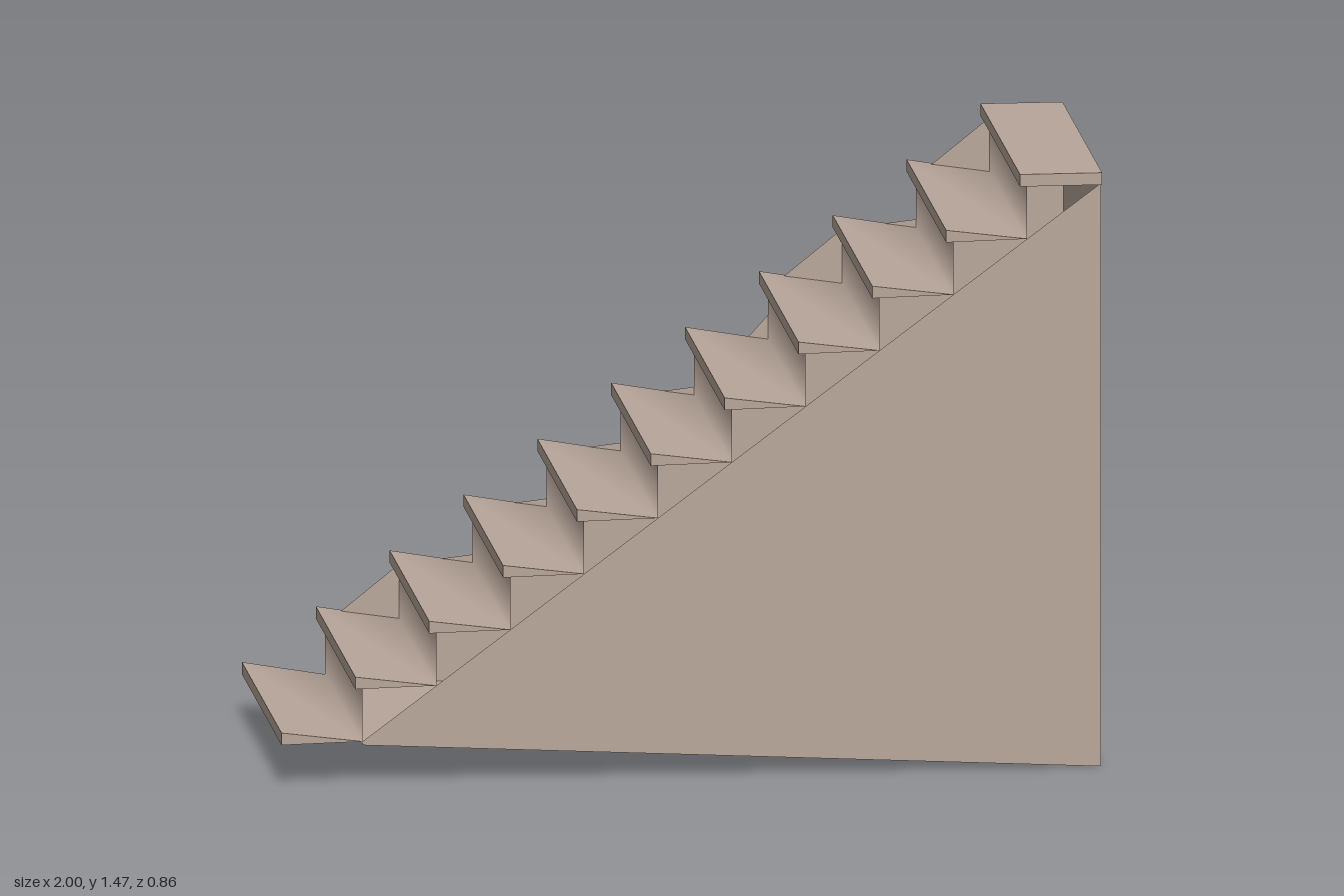
import * as THREE from 'three';

export function createModel() {
  const group = new THREE.Group();
  group.name = 'staircase';
  const stone = new THREE.MeshStandardMaterial({ color: 0xb8a69a, side: THREE.DoubleSide });
  stone.name = 'warm stone';

  const W = 0.41, NOSE = 0.432;      // half widths of body and tread nosing
  const RUN = 0.18, RISE = 0.134, COUNT = 11, THICK = 0.03;

  function add(name, geometry) {
    const mesh = new THREE.Mesh(geometry, stone);
    mesh.name = name;
    group.add(mesh);
    return mesh;
  }

  // Strip across z through [x, y, halfWidth] points; shared points shade smoothly
  function strip(points) {
    const pos = [], index = [];
    points.forEach(([x, y, w], i) => {
      pos.push(x, y, w, x, y, -w);
      if (i) {
        const a = 2 * i - 2;
        index.push(a, a + 2, a + 1, a + 1, a + 2, a + 3);
      }
    });
    const g = new THREE.BufferGeometry();
    g.setAttribute('position', new THREE.Float32BufferAttribute(pos, 3));
    g.setIndex(index);
    g.computeVertexNormals();
    return g;
  }

  function wall(name, points, z) {
    const g = new THREE.ShapeGeometry(new THREE.Shape(points.map(p => new THREE.Vector2(...p))));
    if (z < 0) g.scale(-1, 1, 1).rotateY(Math.PI); // face outward
    const mesh = add(name, g);
    mesh.position.z = z;
  }

  // Small triangular cheek closing the tapered end of a tread
  function cheek(x, y, side) {
    const g = new THREE.BufferGeometry();
    const a = [x, y, side * NOSE], b = [x + 0.2, y, side * W], c = [x, y + THICK, side * NOSE];
    g.setAttribute('position', new THREE.Float32BufferAttribute(
      side > 0 ? [...a, ...b, ...c] : [...a, ...c, ...b], 3));
    g.computeVertexNormals();
    return g;
  }

  // Treads and risers
  for (let i = 0; i < COUNT - 1; i++) {
    const x = -1 + RUN * i, y = 0.102 + RISE * i, back = x + 0.2;
    add('treadAndRiser', strip([[x, y + THICK, NOSE], [back, y, W], [back, y + RISE, W]]));
    add('nosing', strip([[x, y, NOSE], [x, y + THICK, NOSE]]));
    add('treadUnderside', strip([[back, y, W], [x, y, NOSE]]));
    for (const side of [-1, 1]) add('treadEnd', cheek(x, y, side));
  }

  // Flat landing slab
  const landing = add('landing', new THREE.BoxGeometry(0.2, THICK, NOSE * 2));
  landing.position.set(0.9, 1.457, 0);

  // Sloping side wall at the front
  wall('frontWall', [[1, 0], [1, 1.442], [0.82, 1.308], [-0.8, 0.102], [-0.8, 0.093]], W);

  // Stepped side wall at the back, with a few filled corners
  const filled = [2, 8, 10];
  const profile = [[1, 0], [1, 1.442]];
  for (let k = COUNT - 1; k >= 1; k--) {
    const x = -0.8 + RUN * (k - 1), y = 0.102 + RISE * (k - 1);
    profile.push([x, y + RISE]);
    if (filled.includes(k)) profile.push([x - 0.14, y + 0.022]);
    else if (k === 7) profile.push([x, y + 0.06], [x - 0.05, y + 0.005]);
    else profile.push([x, y + 0.02]);
  }
  profile.push([-0.8, 0.093]);
  wall('backWall', profile, -W);

  // Tall end and sloping base
  add('tallEnd', strip([[1, 1.442, W], [1, 0, W]]));
  add('base', strip([[1, 0, W], [-0.8, 0.093, W]]));

  return group;
}
